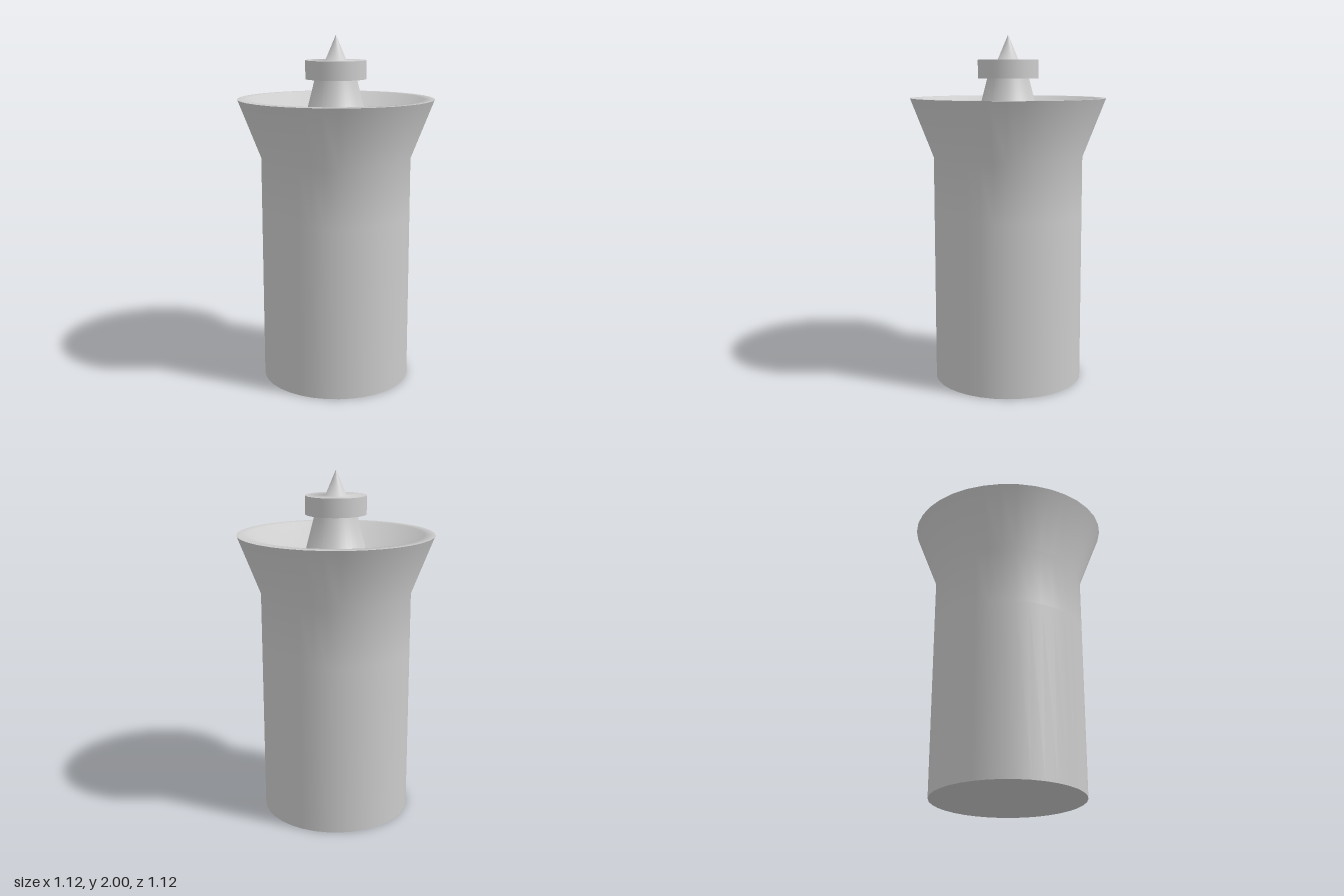
import * as THREE from 'three';

const SIDES = 36;

export function createModel() {
  const model = new THREE.Group();
  const material = new THREE.MeshStandardMaterial({ color: 0xcccccc });

  // Each profile of [radius, height] is one smooth run; breaks between runs are sharp edges.
  function addTurned(name, profile) {
    const points = profile.map(([r, y]) => new THREE.Vector2(r, y));
    const mesh = new THREE.Mesh(new THREE.LatheGeometry(points, SIDES), material);
    mesh.name = name;
    model.add(mesh);
  }

  // Column with flared mouth
  addTurned('base', [[0, 0], [0.43, 0]]);
  addTurned('column', [[0.43, 0], [0.43, 0.98], [0.43, 1.31], [0.56, 1.645]]);

  // Rim, bowl and the tapering post that rises from its floor
  addTurned('bowlAndPost', [
    [0.56, 1.645], [0.5, 1.645], [0.3, 1.47], [0.185, 1.5], [0.12, 1.755],
  ]);

  // Collar on the post
  addTurned('collarUnderside', [[0.12, 1.755], [0.173, 1.755]]);
  addTurned('collarSide', [[0.173, 1.755], [0.173, 1.86]]);

  // Collar top blending into the pointed tip
  addTurned('collarTopAndSpike', [[0.173, 1.86], [0.06, 1.86], [0, 2]]);

  return model;
}
